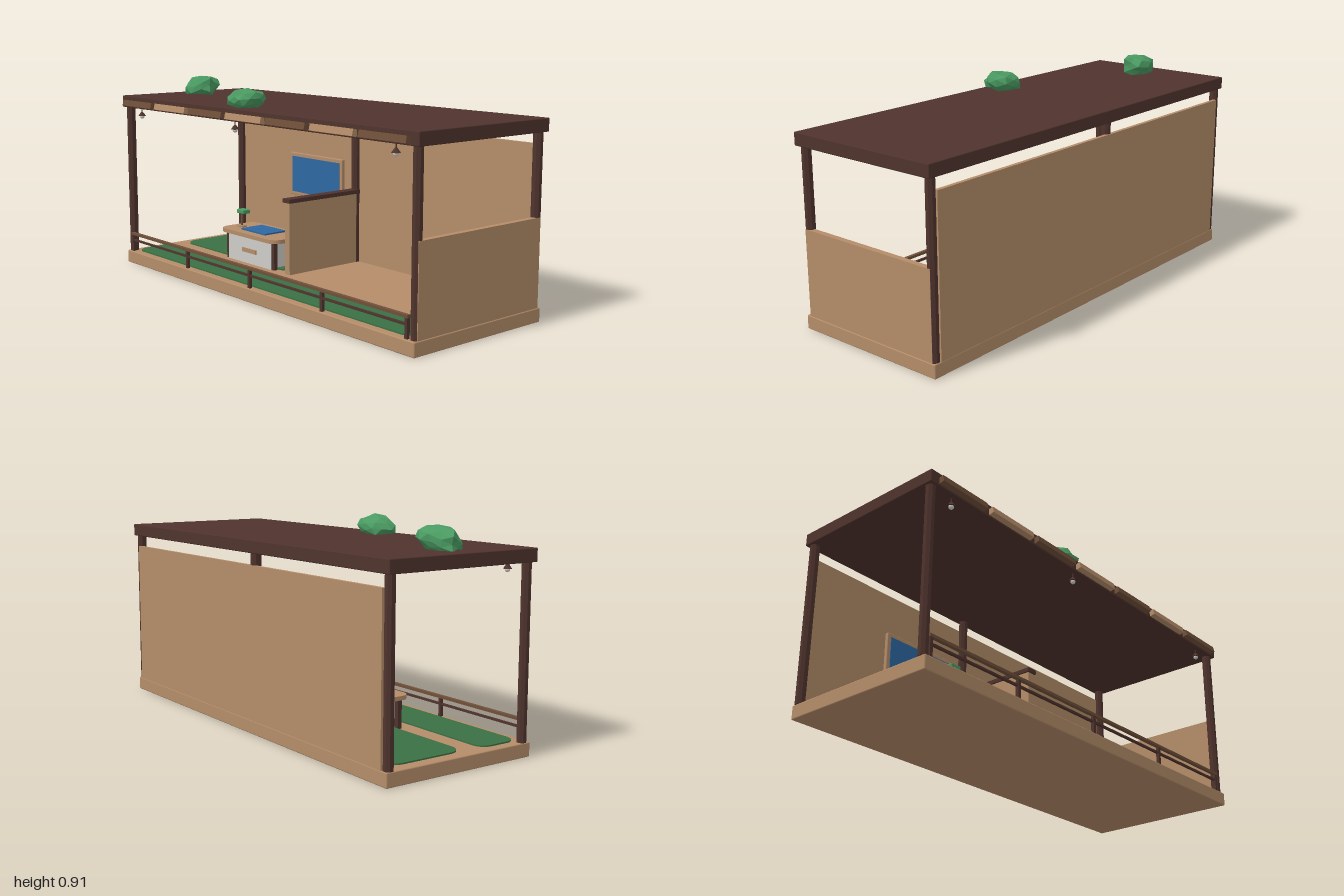
import * as THREE from 'three';
import { RoundedBoxGeometry } from 'three/addons/geometries/RoundedBoxGeometry.js';

const mat = (name, color) => {
  const m = new THREE.MeshStandardMaterial({ color });
  m.name = name;
  return m;
};

export function createModel() {
  const tan = mat('tan wood', 0xb48c69);
  const dark = mat('dark wood', 0x4f332d);
  const brown = mat('brown wood', 0x70503a);
  const rug = mat('rug green', 0x3a7044);
  const leaf = mat('leaf green', 0x4a9a62);
  const blue = mat('screen blue', 0x2e68a2);
  const white = mat('off white', 0xcfcdc8);
  leaf.flatShading = true;

  const root = new THREE.Group();
  root.name = 'pavilion';
  const add = (name, geo, material, x = 0, y = 0, z = 0) => {
    const m = new THREE.Mesh(geo, material);
    m.name = name;
    m.position.set(x, y, z);
    root.add(m);
    return m;
  };
  // Box given by its limits on each axis
  const box = (name, material, [x0, x1], [y0, y1], [z0, z1], r = 0) => {
    const s = [x1 - x0, y1 - y0, z1 - z0];
    const geo = r ? new RoundedBoxGeometry(...s, 2, r) : new THREE.BoxGeometry(...s);
    return add(name, geo, material, (x0 + x1) / 2, (y0 + y1) / 2, (z0 + z1) / 2);
  };
  // Horizontal slab with rounded corners in plan
  const slab = (name, material, [x0, x1], [y0, y1], [z0, z1], r) => {
    const s = new THREE.Shape();
    s.absarc(x1 - r, -z0 - r, r, 0, Math.PI / 2);
    s.absarc(x0 + r, -z0 - r, r, Math.PI / 2, Math.PI);
    s.absarc(x0 + r, -z1 + r, r, Math.PI, Math.PI * 1.5);
    s.absarc(x1 - r, -z1 + r, r, Math.PI * 1.5, Math.PI * 2);
    const geo = new THREE.ExtrudeGeometry(s, { depth: y1 - y0, bevelEnabled: false, curveSegments: 6 });
    return add(name, geo.rotateX(-Math.PI / 2), material, 0, y0, 0);
  };

  // Floor, roof and walls
  box('floorBase', tan, [-0.99, 0.99], [0, 0.06], [-0.37, 0.35], 0.005);
  box('roof', dark, [-1, 1], [0.77, 0.825], [-0.375, 0.35], 0.004);
  box('backWall', tan, [-0.957, 0.957], [0.06, 0.72], [-0.372, -0.355]);
  box('sideHalfWall', tan, [0.962, 0.988], [0.06, 0.43], [-0.355, 0.33]);
  box('partition', tan, [-0.102, -0.068], [0.06, 0.39], [-0.355, 0.065]);
  box('partitionCap', dark, [-0.109, -0.061], [0.388, 0.406], [-0.355, 0.072]);

  // Chamfered posts
  const post = new THREE.CylinderGeometry(0.0205, 0.0205, 0.71, 8).rotateY(Math.PI / 8).toNonIndexed();
  post.computeVertexNormals();
  for (const [x, z] of [[-0.972, 0.32], [0.968, 0.32], [-0.972, -0.348], [0.968, -0.348], [-0.085, -0.348]])
    add('post', post, dark, x, 0.415, z);

  // Tilted slats along the roof edge
  for (let i = 0; i < 7; i++) {
    const slat = add('roofSlat', new THREE.BoxGeometry(0.248, 0.028, 0.024), i % 2 ? tan : brown, -0.834 + i * 0.278, 0.792, 0.361);
    slat.rotation.x = -0.22;
  }

  // Hanging lamps
  for (const x of [-0.865, -0.115, 0.86]) {
    add('lampCord', new THREE.CylinderGeometry(0.003, 0.003, 0.03, 6), dark, x, 0.76, 0.325);
    add('lampShade', new THREE.CylinderGeometry(0.005, 0.018, 0.018, 12), dark, x, 0.743, 0.325);
    add('lampBulb', new THREE.SphereGeometry(0.011, 12, 8), white, x, 0.731, 0.325);
  }

  // Front railing
  for (let i = 0; i < 5; i++) {
    const x = -0.953 + i * 0.473;
    box('railPost', dark, [x - 0.007, x + 0.007], [0.06, 0.142], [0.328, 0.342]);
  }
  box('topRail', brown, [-0.962, 0.948], [0.14, 0.152], [0.327, 0.343]);
  box('middleRail', dark, [-0.955, 0.942], [0.11, 0.119], [0.33, 0.34]);

  // Rugs
  slab('backRug', rug, [-0.94, -0.13], [0.06, 0.066], [-0.31, 0.04], 0.06);
  slab('frontRug', rug, [-0.95, 0.93], [0.06, 0.066], [0.13, 0.315], 0.05);

  // Counter
  slab('counterTop', tan, [-0.575, -0.15], [0.188, 0.206], [-0.12, 0.09], 0.05);
  box('counterBody', white, [-0.525, -0.2], [0.06, 0.188], [-0.09, 0.068]);
  for (const x of [-0.535, -0.19])
    for (const z of [-0.085, 0.055])
      box('counterLeg', dark, [x - 0.01, x + 0.01], [0.06, 0.188], [z - 0.01, z + 0.01]);
  box('counterPlaque', tan, [-0.415, -0.31], [0.112, 0.132], [0.068, 0.073]);
  box('deskMat', blue, [-0.456, -0.274], [0.206, 0.213], [-0.08, 0.045]);

  // Desk lamp
  add('deskLampBase', new THREE.CylinderGeometry(0.022, 0.022, 0.008, 16), tan, -0.51, 0.21, 0);
  add('deskLampStem', new THREE.CylinderGeometry(0.005, 0.005, 0.07, 8), brown, -0.51, 0.245, 0);
  box('deskLampHead', leaf, [-0.526, -0.472], [0.273, 0.293], [-0.02, 0.02], 0.004);

  // Wall screen
  box('screenFrame', tan, [-0.555, -0.17], [0.323, 0.535], [-0.356, -0.338], 0.004);
  box('screen', blue, [-0.537, -0.188], [0.34, 0.517], [-0.339, -0.335]);

  // Bench in the right bay
  box('bench', tan, [0.66, 0.915], [0.06, 0.204], [-0.33, -0.07], 0.006);

  // Roof shrubs: jittered, flattened balls cut flat at the roof
  const shrub = (x, z, w, h, d, seed, tilt) => {
    const geo = new THREE.IcosahedronGeometry(1, 1).rotateY(seed);
    const p = geo.attributes.position;
    const v = new THREE.Vector3();
    for (let i = 0; i < p.count; i++) {
      v.fromBufferAttribute(p, i);
      const k = 1 + 0.14 * Math.sin(Math.round(v.x * 50) * 1.7 + Math.round(v.y * 50) * 2.3 + Math.round(v.z * 50) * 3.1 + seed);
      v.multiplyScalar(k);
      p.setXYZ(i, v.x * w, Math.max(0, (v.y + 0.7 + tilt * v.x) * h), v.z * d);
    }
    geo.computeVertexNormals();
    add('shrub', geo, leaf, x, 0.822, z);
  };
  shrub(-0.835, -0.003, 0.105, 0.054, 0.073, 1.3, 0.25);
  shrub(-0.125, 0.26, 0.093, 0.05, 0.072, 2.6, 0.2);

  return root;
}
